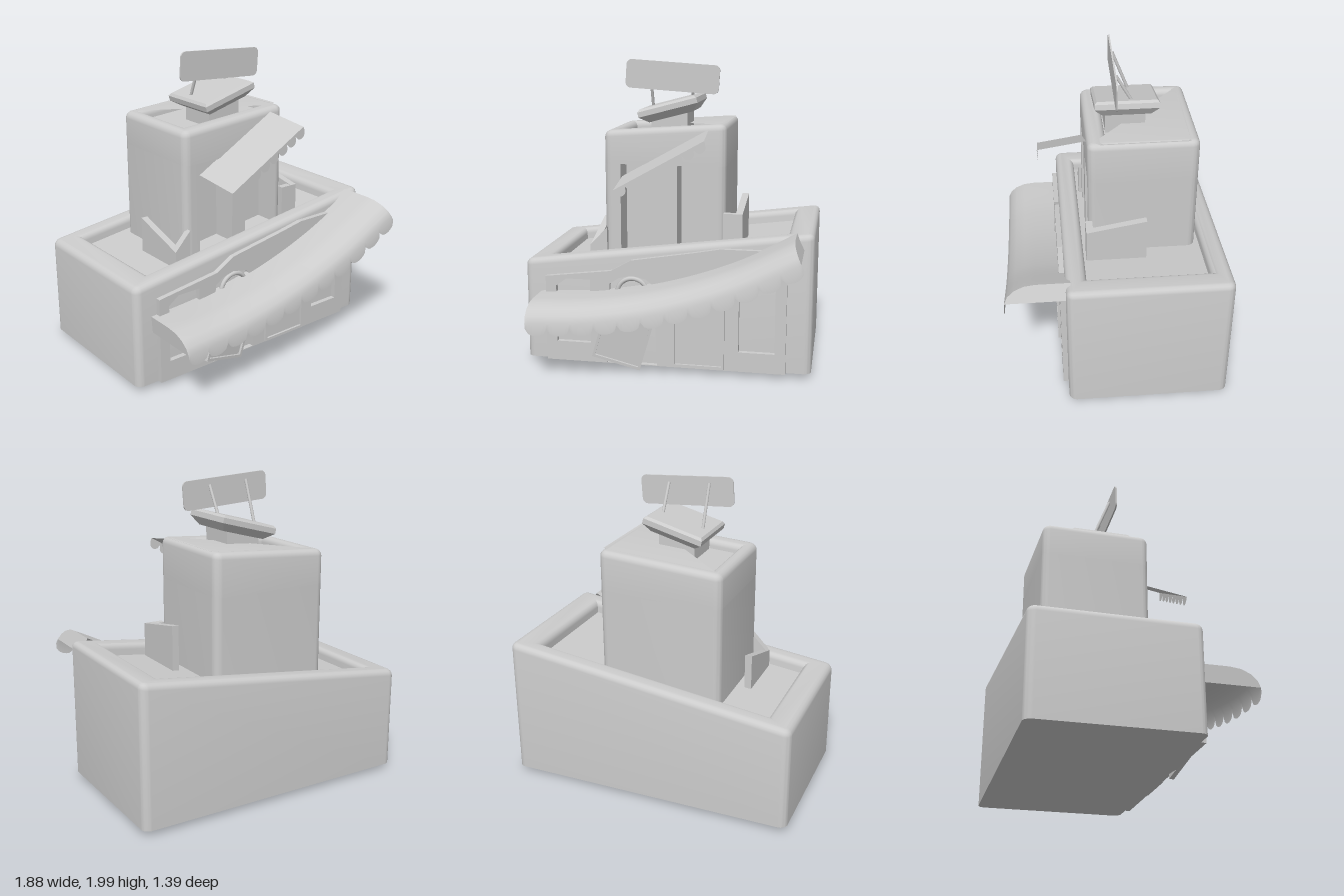
import * as THREE from 'three';
import { toCreasedNormals } from 'three/addons/utils/BufferGeometryUtils.js';

const grey = new THREE.MeshStandardMaterial({ color: 0xcccccc });
const flat = new THREE.MeshStandardMaterial({ color: 0xcccccc, flatShading: true });
const thin = new THREE.MeshStandardMaterial({ color: 0xcccccc, side: THREE.DoubleSide });

function add(parent, name, geometry, material = grey) {
  const mesh = new THREE.Mesh(geometry, material);
  mesh.name = name;
  parent.add(mesh);
  return mesh;
}

// Box given by its limits
function box(x0, x1, y0, y1, z0, z1) {
  return new THREE.BoxGeometry(x1 - x0, y1 - y0, z1 - z0)
    .translate((x0 + x1) / 2, (y0 + y1) / 2, (z0 + z1) / 2);
}

const polygon = (pts) => new THREE.Shape(pts.map(([x, y]) => new THREE.Vector2(x, y)));

function roundedRect(x0, x1, y0, y1, r) {
  const s = new THREE.Shape();
  s.absarc(x1 - r, y0 + r, r, -Math.PI / 2, 0);
  s.absarc(x1 - r, y1 - r, r, 0, Math.PI / 2);
  s.absarc(x0 + r, y1 - r, r, Math.PI / 2, Math.PI);
  s.absarc(x0 + r, y0 + r, r, Math.PI, Math.PI * 1.5);
  s.closePath();
  return s;
}

// Tilts everything above a height along x
function slopeTop(geometry, above, slope) {
  const p = geometry.attributes.position;
  for (let i = 0; i < p.count; i++) {
    if (p.getY(i) > above) p.setY(i, p.getY(i) + slope * p.getX(i));
  }
  return geometry;
}

// Rounded block whose sloping top has a parapet around a sunken roof
function parapetBlock(parent, name, [x0, x1, z0, z1], [hx0, hx1, hz0, hz1], y0, y1, slope, sink) {
  const b = 0.04;
  const shape = roundedRect(x0, x1, -z1, -z0, 0.05);
  shape.holes.push(polygon([[hx0, -hz1], [hx0, -hz0], [hx1, -hz0], [hx1, -hz1]]));
  const walls = new THREE.ExtrudeGeometry(shape, {
    depth: y1 - y0 - 2 * b, bevelSize: b, bevelThickness: b, bevelOffset: -b, bevelSegments: 4, curveSegments: 6,
  }).rotateX(-Math.PI / 2).translate(0, y0 + b, 0);
  const p = walls.attributes.position;
  for (let i = 0; i < p.count; i++) {
    // square lower edge: undo the bevel at the foot
    if (p.getY(i) < y0 + b - 1e-4) {
      p.setY(i, y0);
    } else if (p.getY(i) < y0 + b + 1e-4) p.setY(i, y0);
  }
  const mid = (y0 + y1) / 2;
  add(parent, name + 'Walls', toCreasedNormals(slopeTop(walls, mid, slope), 0.6));
  const fill = box(hx0 - 0.01, hx1 + 0.01, y0, y1 - sink, hz0 - 0.01, hz1 + 0.01);
  add(parent, name + 'Roof', slopeTop(fill, (2 * y0 + y1 - sink) / 3, slope), flat);
}

// Smooth surface from fn(u, v), u and v in 0..1
function sheet(nu, nv, fn) {
  const pos = [], idx = [];
  for (let i = 0; i <= nu; i++) {
    for (let j = 0; j <= nv; j++) {
      pos.push(...fn(i / nu, j / nv));
      if (i < nu && j < nv) {
        const a = i * (nv + 1) + j, c = a + nv + 1;
        idx.push(a, a + 1, c, c, a + 1, c + 1);
      }
    }
  }
  const g = new THREE.BufferGeometry();
  g.setAttribute('position', new THREE.Float32BufferAttribute(pos, 3));
  g.setIndex(idx);
  return toCreasedNormals(g, 0.7);
}

// Scallop depth, 0 at the cusps and 1 at the tips
const scallop = (u, n) => {
  const t = 2 * ((u * n) % 1) - 1;
  return Math.sqrt(Math.max(0, 1 - t * t));
};

// Framed door, its lower left corner at the origin
function door(name, w, h) {
  const g = new THREE.Group();
  g.name = name;
  add(g, 'doorPanel', box(0, w, 0, h, 0, 0.015));
  const frame = polygon([[0, 0], [w, 0], [w, h], [0, h]]);
  const e = 0.018;
  frame.holes.push(polygon([[e, e], [e, h - e], [w - e, h - e], [w - e, e]]));
  add(g, 'doorFrame', new THREE.ExtrudeGeometry(frame, { depth: 0.03, bevelEnabled: false }));
  return g;
}

function shopFront(parent) {
  const panel = polygon([[-0.79, 0.04], [0.78, 0.04], [0.78, 0.84], [0.36, 0.84], [0.2, 0.81],
    [-0.22, 0.74], [-0.35, 0.665], [-0.79, 0.61]]);
  panel.holes.push(
    polygon([[-0.72, 0.17], [-0.72, 0.55], [-0.65, 0.6], [-0.49, 0.6], [-0.49, 0.17]]),
    polygon([[0.48, 0.17], [0.48, 0.62], [0.58, 0.66], [0.71, 0.62], [0.71, 0.17]]),
    polygon([[-0.38, 0.045], [-0.36, 0.58], [-0.3, 0.62], [-0.22, 0.64], [-0.12, 0.62], [-0.07, 0.58], [-0.05, 0.045]]),
  );
  add(parent, 'shopFront', new THREE.ExtrudeGeometry(panel, { depth: 0.06, bevelEnabled: false }).translate(0, 0, 0.293));
  const arch = add(parent, 'doorArch', new THREE.TorusGeometry(0.1, 0.015, 8, 20, Math.PI));
  arch.position.set(-0.21, 0.52, 0.345);

  const closed = door('closedDoor', 0.34, 0.53);
  closed.position.set(0.05, 0.05, 0.34);
  const broken = door('brokenDoor', 0.325, 0.46);
  broken.position.set(-0.475, 0.1, 0.375);
  broken.rotation.set(0.06, 0.1, -0.29);
  parent.add(closed, broken);
}

function mainAwning(parent) {
  const curve = new THREE.CatmullRomCurve3([[-0.83, 0.5], [-0.42, 0.53], [0, 0.61], [0.42, 0.75], [0.83, 0.95]]
    .map(([x, y]) => new THREE.Vector3(x, y, 0)));
  // z and drop below the top edge
  const profile = [[0.29, 0], [0.5, 0], [0.57, 0.008], [0.63, 0.033], [0.67, 0.068], [0.69, 0.11]];
  const at = (u, z, drop) => {
    const p = curve.getPointAt(u), t = curve.getTangentAt(u);
    return [p.x + t.y * drop, p.y - t.x * drop, z];
  };
  const n = profile.length;
  add(parent, 'awningCover', sheet(96, n, (u, v) => {
    const j = Math.round(v * n);
    return j < n ? at(u, ...profile[j]) : at(u, 0.692, 0.14 + 0.05 * scallop(u, 12));
  }), thin);
  for (const end of [0, 1]) {
    add(parent, 'awningEnd', sheet(n - 1, 1, (u, v) => {
      const [z, drop] = profile[Math.round(u * (n - 1))];
      return at(end, z, v ? 0.11 : drop);
    }), thin);
  }
}

function towerAwning(parent) {
  add(parent, 'towerAwning', sheet(64, 2, (u, v) => {
    const x = -0.32 + 0.57 * u, y = 1.25 + 0.32 * u;
    if (v === 0) return [x, y, 0.14];
    const drop = v === 1 ? 0.015 + 0.045 * scallop(u, 8) : 0;
    return [x + 0.015 + drop * 0.45, y - 0.04 - drop * 0.88, 0.45];
  }), thin);
}

function tower(parent) {
  // lower storey with two tall niches in the front
  const s = new THREE.Shape();
  const r = 0.05, front = -0.15, niche = 0.02;
  s.absarc(-0.44 + r, 0.54 - r, r, Math.PI / 2, Math.PI);
  s.absarc(-0.44 + r, front + r, r, Math.PI, Math.PI * 1.5);
  for (const [a, b] of [[-0.33, -0.065], [0.045, 0.305]]) {
    s.lineTo(a, front);
    s.lineTo(a, niche);
    s.lineTo(b, niche);
    s.lineTo(b, front);
  }
  s.absarc(0.36 - r, front + r, r, -Math.PI / 2, 0);
  s.absarc(0.36 - r, 0.54 - r, r, 0, Math.PI / 2);
  s.closePath();
  const lower = new THREE.ExtrudeGeometry(s, { depth: 0.73, bevelEnabled: false, curveSegments: 6 })
    .rotateX(-Math.PI / 2).translate(0, 0.6, 0);
  add(parent, 'towerLower', toCreasedNormals(lower, 0.6));
  parapetBlock(parent, 'towerTop', [-0.44, 0.36, -0.54, 0.15], [-0.35, 0.31, -0.44, 0.03], 1.33, 1.575, 0.07, 0.06);

  // chimney with a tilted cap
  add(parent, 'chimney', box(-0.15, 0.09, 1.45, 1.68, -0.23, 0.02));
  const k = Math.SQRT2;
  const cap = add(parent, 'chimneyCap', new THREE.LatheGeometry(
    [[0, -0.06], [0.15, -0.06], [0.2, -0.012], [0.2, 0.022], [0.185, 0.037], [0, 0.037]]
      .map(([x, y]) => new THREE.Vector2(x * k, y)), 4).rotateY(Math.PI / 4), flat);
  cap.position.set(-0.03, 1.69, -0.11);
  cap.rotation.z = 0.26;

  // sign board on two struts
  const sign = add(parent, 'signBoard', new THREE.ExtrudeGeometry(
    roundedRect(-0.31, 0.31, -0.093, 0.093, 0.035), { depth: 0.01, bevelEnabled: false }));
  sign.position.set(-0.02, 1.887, -0.04);
  sign.rotation.z = -0.066;
  for (const [x, foot, head] of [[-0.17, 1.67, 1.95], [0.1, 1.74, 1.93]]) {
    const path = new THREE.LineCurve3(new THREE.Vector3(x, foot, -0.15), new THREE.Vector3(x, head, -0.042));
    add(parent, 'signStrut', new THREE.TubeGeometry(path, 1, 0.01, 8));
  }
}

// Low balcony walls beside the tower, rising to the back
function balcony(parent, name, side, outer, inner, base, low, high) {
  const g = new THREE.Group();
  g.name = name;
  const profile = polygon([[-0.17, base], [0.21, base], [0.21, high], [-0.17, low]]);
  const w = 0.045;
  const wall = new THREE.ExtrudeGeometry(profile, { depth: w, bevelEnabled: false }).rotateY(Math.PI / 2);
  wall.translate(side > 0 ? outer - w : outer, 0, 0);
  add(g, 'sideWall', wall);
  const end = side > 0
    ? polygon([[inner, base], [outer, base], [outer, low], [inner, low]])
    : polygon([[outer, base], [inner, base], [inner, high], [outer, low]]);
  add(g, 'frontWall', new THREE.ExtrudeGeometry(end, { depth: w, bevelEnabled: false }).translate(0, 0, 0.125));
  parent.add(g);
}

export function createModel() {
  const model = new THREE.Group();
  model.name = 'shopBuilding';
  parapetBlock(model, 'base', [-0.94, 0.94, -0.7, 0.32], [-0.77, 0.77, -0.57, 0.19], 0.04, 0.828, 0.13, 0.08);
  shopFront(model);
  mainAwning(model);
  tower(model);
  towerAwning(model);
  balcony(model, 'leftBalcony', 1, 0.475, 0.35, 0.7, 1.03, 1.1);
  balcony(model, 'rightBalcony', -1, -0.535, -0.42, 0.6, 0.79, 0.91);
  return model;
}
